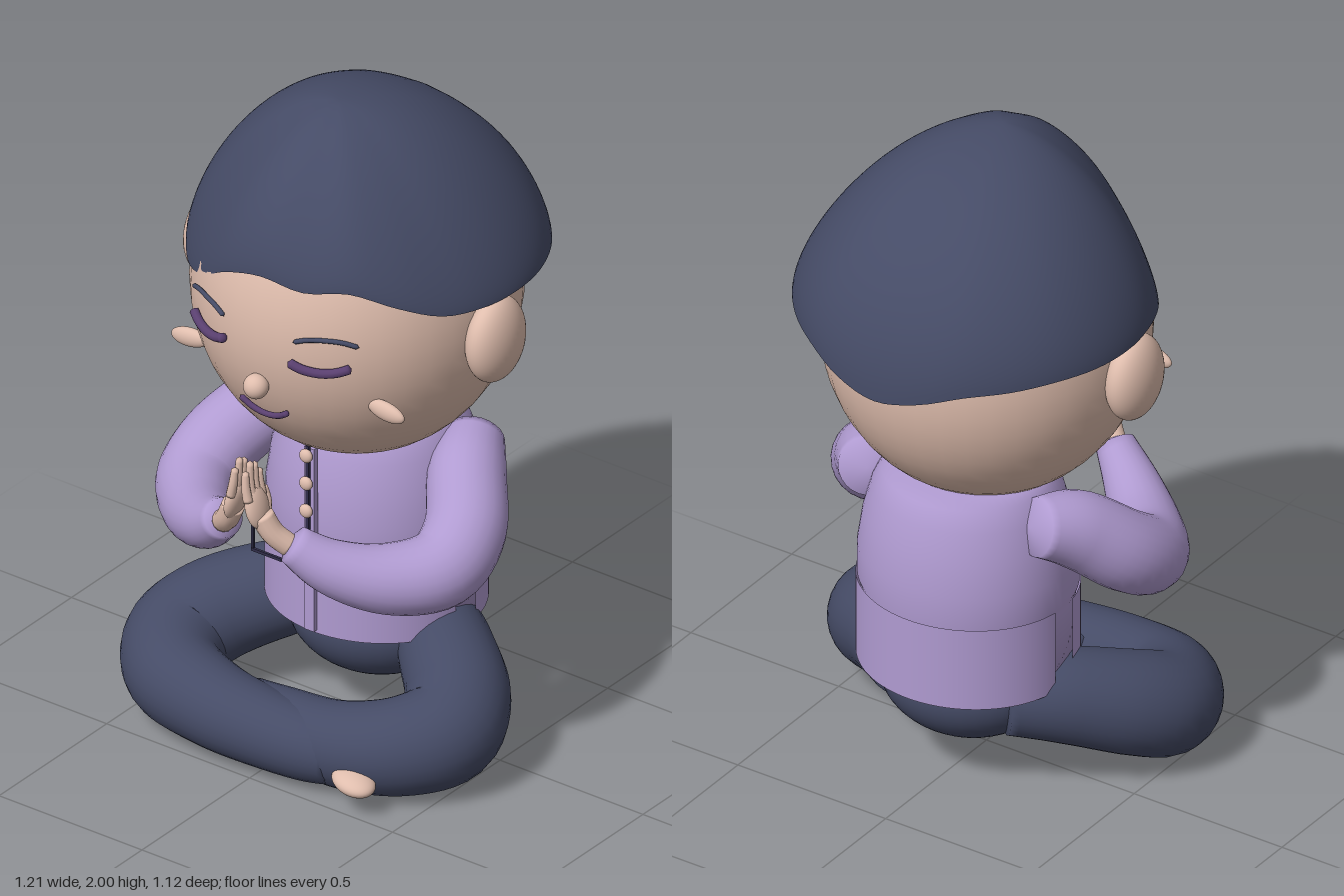
import * as THREE from 'three';
import { mergeVertices } from 'three/addons/utils/BufferGeometryUtils.js';

const mat = (name, color, side = THREE.FrontSide) => {
  const m = new THREE.MeshStandardMaterial({ color, side });
  m.name = name;
  return m;
};
const V = (p) => new THREE.Vector3(...p);

export function createModel() {
  const model = new THREE.Group();
  model.name = 'meditatingFigure';
  const navy = mat('navy', 0x454b66, THREE.DoubleSide);
  const skin = mat('skin', 0xdfbdad);
  const lavender = mat('lavender', 0xb09bd1, THREE.DoubleSide);
  const plum = mat('plum', 0x5a4070);
  const dark = mat('darkTrim', 0x2f2c48);

  const add = (name, geo, material, parent = model) => {
    const m = new THREE.Mesh(geo, material);
    m.name = name;
    parent.add(m);
    return m;
  };
  const ball = (name, pos, size, material, parent) => {
    const m = add(name, new THREE.SphereGeometry(1, 40, 28), material, parent);
    m.position.set(...pos);
    m.scale.set(...size);
    return m;
  };
  const smooth = (geo) => {
    geo.deleteAttribute('uv');
    geo.deleteAttribute('normal');
    const g = mergeVertices(geo, 1e-5);
    g.computeVertexNormals();
    return g;
  };
  // Tapered limb: points are [x, y, z, radius]; the end rings close to a point
  const limb = (pts, n = 40, sides = 24) => {
    const curve = new THREE.CatmullRomCurve3(pts.map((p) => V(p.slice(0, 3))));
    const radii = new THREE.CatmullRomCurve3(pts.map((p) => V([p[3], 0, 0])));
    const geo = new THREE.TubeGeometry(curve, n, 1, sides);
    const pos = geo.attributes.position, nor = geo.attributes.normal;
    for (let i = 0; i < pos.count; i++) {
      const ring = Math.floor(i / (sides + 1));
      const r = ring === 0 || ring === n ? 0 : radii.getPoint(curve.getUtoTmapping(ring / n)).x;
      const c = curve.getPointAt(ring / n);
      pos.setXYZ(i, c.x + nor.getX(i) * r, c.y + nor.getY(i) * r, c.z + nor.getZ(i) * r);
    }
    return smooth(geo);
  };
  const flip = (pts, s) => pts.map(([x, ...rest]) => [x * s, ...rest]);

  // Head
  const R = 0.47, RY = 0.515, HY = 1.4;
  ball('head', [0, HY, 0], [R, RY, R], skin);
  ball('nose', [0, 1.255, 0.47], [0.037, 0.037, 0.036], skin);
  const faceZ = (x, y) => R * Math.sqrt(1 - (x / R) ** 2 - ((y - HY) / RY) ** 2);
  const faceLine = (name, pts, r, lift, material) =>
    add(name, limb(pts.map(([x, y]) => [x, y, faceZ(x, y) + lift, r]), 24, 10), material);

  // Mouth
  faceLine('mouth', [[-0.085, 1.18], [-0.045, 1.155], [0, 1.146], [0.045, 1.155], [0.085, 1.18]], 0.009, 0.016, plum);

  // Ears, closed eyes, brows and cheeks
  for (const s of [1, -1]) {
    const side = s > 0 ? 'left' : 'right';
    ball(side + 'Ear', [0.493 * s, 1.37, 0.012], [0.067, 0.132, 0.112], skin);
    ball(side + 'Cheek', [0.343 * s, 1.225, 0.322], [0.064, 0.029, 0.02], skin).rotation.z = -0.12 * s;
    faceLine(side + 'Eye', flip([[0.11, 1.372], [0.15, 1.356], [0.2, 1.35], [0.24, 1.356], [0.277, 1.372]], s), 0.014, 0.014, plum);
    faceLine(side + 'Brow', flip([[0.12, 1.434], [0.16, 1.448], [0.21, 1.453], [0.25, 1.45], [0.29, 1.436]], s), 0.007, 0.006, navy);
  }

  // Hair cap: rim heights every 15 degrees, starting at the front and going to the left
  const rimY = [1.6, 1.585, 1.6, 1.555, 1.51, 1.5, 1.5, 1.5, 1.5, 1.49, 1.475, 1.435, 1.41,
    1.435, 1.475, 1.49, 1.5, 1.5, 1.5, 1.5, 1.485, 1.455, 1.485, 1.56];
  const rim = new THREE.CatmullRomCurve3(rimY.map((y, i) => {
    const a = (i / 24) * Math.PI * 2;
    return new THREE.Vector3(0.517 * Math.sin(a), y, -0.055 + 0.504 * Math.cos(a));
  }), true);
  const hair = new THREE.SphereGeometry(1, 96, 32, 0, Math.PI * 2, 0, Math.PI / 2);
  const hp = hair.attributes.position;
  for (let i = 0; i < hp.count; i++) {
    const x = hp.getX(i), z = hp.getZ(i);
    const u = Math.min(1, Math.hypot(x, z));
    const a = Math.atan2(x, z);
    const e = rim.getPoint((a / (Math.PI * 2) + 1) % 1);
    // rounder at the crown and back, steeper towards the sides and front
    const p = 1.8 - 0.16 * Math.cos(a) - (0.28 * Math.abs(Math.sin(a)) + 0.06 * Math.sin(a)) * u;
    const h = hp.getY(i) < 1e-6 ? 0 : Math.pow(Math.max(0, 1 - Math.pow(u, p)), 1 / p);
    hp.setXYZ(i, e.x * u, e.y + (2 - e.y) * h, 0.08 * (1 - u) + e.z * u);
  }
  add('hair', smooth(hair), navy);

  // Shirt: rounded torso, and a straight hem in two halves with a slit at each side
  const seat = (m) => {
    m.scale.z = 0.93;
    m.position.z = -0.09;
    return m;
  };
  const profile = [[0, 0.35], [0.306, 0.35], [0.308, 0.57], [0.318, 0.6], [0.318, 0.7], [0.303, 0.8],
    [0.278, 0.89], [0.25, 0.95], [0.22, 0.975], [0, 0.985]];
  seat(add('shirtBody', new THREE.LatheGeometry(profile.map((p) => new THREE.Vector2(...p)), 64), lavender));
  const hem = (name, from, to) => {
    const rad = Math.PI / 180;
    const geo = new THREE.CylinderGeometry(0.322, 0.322, 0.26, 48, 1, true, from * rad, (to - from) * rad);
    seat(add(name, geo, lavender)).position.y = 0.47;
  };
  hem('frontHem', -80, 80);
  hem('backHem', 97, 263);

  // Placket and buttons
  const bar = (name, size, pos, material) => {
    const m = add(name, new THREE.BoxGeometry(...size), material);
    m.position.set(...pos);
    return m;
  };
  bar('placket', [0.034, 0.59, 0.02], [0, 0.645, 0.214], lavender);
  bar('placketSeam', [0.01, 0.42, 0.009], [0, 0.74, 0.229], dark);
  for (let i = 0; i < 5; i++) ball('button', [0, 0.565 + i * 0.089, 0.238], [0.021, 0.021, 0.014], skin);

  // Pelvis
  ball('pelvis', [0, 0.29, -0.09], [0.26, 0.18, 0.235], navy);

  for (const s of [1, -1]) {
    const side = s > 0 ? 'left' : 'right';
    // Pocket outline
    bar(side + 'PocketTop', [0.115, 0.009, 0.008], [0.155 * s, 0.617, 0.205], dark).rotation.z = 0.1 * -s;
    bar(side + 'PocketBottom', [0.105, 0.009, 0.008], [0.16 * s, 0.532, 0.207], dark);
    bar(side + 'PocketEdge', [0.007, 0.085, 0.008], [0.21 * s, 0.57, 0.205], dark);

    // Sleeve
    add(side + 'Sleeve', limb(flip([
      [0.275, 0.9, -0.19, 0.08], [0.34, 0.85, -0.06, 0.112], [0.425, 0.745, 0.065, 0.117],
      [0.427, 0.68, 0.175, 0.115], [0.335, 0.67, 0.3, 0.102], [0.215, 0.715, 0.405, 0.08],
      [0.105, 0.795, 0.47, 0.053]], s)), lavender);

    // Hand with four upright fingers and a thumb
    const hand = new THREE.Group();
    hand.name = side + 'Hand';
    model.add(hand);
    add('wrist', limb(flip([[0.12, 0.775, 0.465, 0.034], [0.078, 0.82, 0.495, 0.034], [0.046, 0.88, 0.51, 0.034]], s), 16, 14), skin, hand);
    const palm = ball('palm', [0.036 * s, 0.9, 0.514], [0.024, 0.068, 0.045], skin, hand);
    palm.rotation.z = 0.25 * s;
    [1.005, 1.035, 1.045, 1.02].forEach((top, i) => {
      const z = 0.484 + i * 0.021;
      add('finger', limb(flip([[0.032, 0.92, z, 0.015], [0.022, 0.97, z, 0.013], [0.018, top, z - 0.004, 0.01]], s), 14, 10), skin, hand);
    });
    add('thumb', limb(flip([[0.05, 0.86, 0.49, 0.016], [0.036, 0.9, 0.468, 0.014], [0.022, 0.945, 0.465, 0.01]], s), 14, 10), skin, hand);

    // Folded leg: the left knee sits further back, the shins cross at the front
    const thigh = [[0.15, 0.285, -0.16, 0.11], [0.29, 0.268, -0.03, 0.138]];
    const rest = s > 0
      ? [[0.42, 0.215, 0.09, 0.15], [0.457, 0.172, 0.19, 0.152], [0.385, 0.145, 0.295, 0.142],
        [0.22, 0.125, 0.365, 0.124], [0, 0.125, 0.365, 0.1], [-0.13, 0.125, 0.355, 0.085]]
      : [[0.42, 0.215, 0.115, 0.15], [0.455, 0.172, 0.22, 0.152], [0.38, 0.145, 0.345, 0.142],
        [0.2, 0.13, 0.405, 0.125], [0, 0.12, 0.415, 0.113], [-0.15, 0.115, 0.405, 0.105], [-0.25, 0.11, 0.385, 0.09]];
    add(side + 'Leg', limb(flip([...thigh, ...rest], s), 56, 28), navy);
  }

  // Feet tucked under the opposite knees
  const foot = ball('rightFoot', [0.338, 0.093, 0.465], [0.076, 0.032, 0.055], skin);
  foot.rotation.set(0, -0.35, -0.1);
  ball('leftFoot', [-0.165, 0.11, 0.32], [0.08, 0.045, 0.055], skin);

  return model;
}
